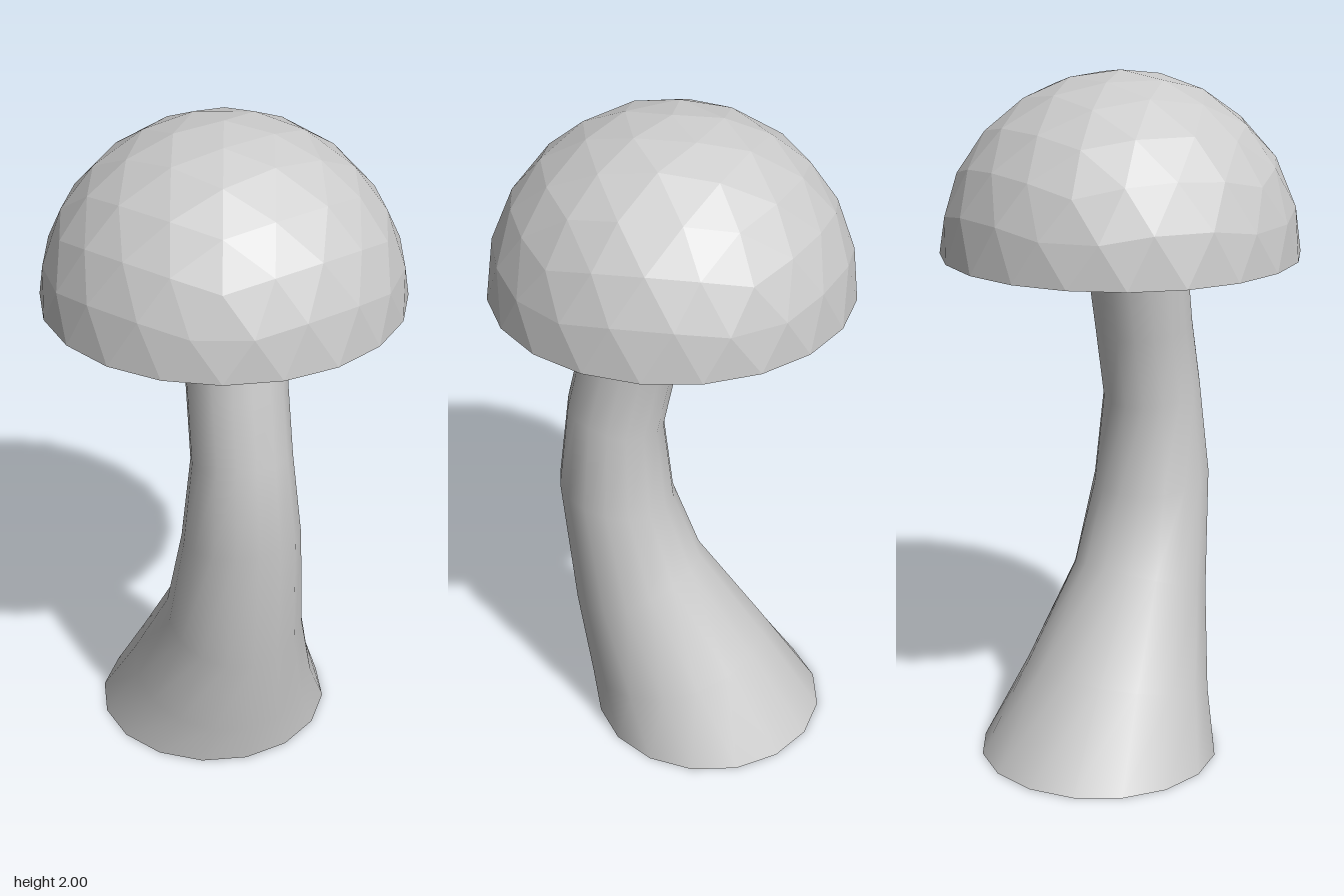
import * as THREE from 'three';

const material = (flatShading) => new THREE.MeshStandardMaterial({ color: 0xcccccc, flatShading });

function addMesh(group, name, positions, index, flat) {
  const geometry = new THREE.BufferGeometry();
  geometry.setAttribute('position', new THREE.Float32BufferAttribute(positions, 3));
  if (index) geometry.setIndex(index);
  geometry.computeVertexNormals();
  const mesh = new THREE.Mesh(geometry, material(flat));
  mesh.name = name;
  group.add(mesh);
  return mesh;
}

// Flat polygon facing down, fanned around its centre
function addDisc(group, name, radius, sides, y, z) {
  const disc = new THREE.Mesh(new THREE.CircleGeometry(radius, sides), material(true));
  disc.rotation.x = Math.PI / 2;
  disc.position.set(0, y, z);
  disc.name = name;
  group.add(disc);
}

// Upper half of a subdivided icosahedron standing on one corner
function buildCap() {
  const cap = new THREE.Group();
  cap.name = 'cap';
  const R = 0.512, baseY = 1.488, positions = [];
  const corner = (step, sign) => { // corners of the upper and lower rings
    const a = Math.PI + step * Math.PI / 5;
    const h = 1 / Math.sqrt(5);
    return new THREE.Vector3(2 * h * Math.cos(a), sign * h, 2 * h * Math.sin(a));
  };
  const mid = (a, b) => a.clone().add(b).normalize();
  const split = (a, b, c, level) => {
    if (level === 0) {
      if (Math.min(a.y, b.y, c.y) < -1e-4) return;
      for (const v of [a, b, c]) positions.push(v.x * R, v.y * R, v.z * R);
      return;
    }
    const ab = mid(a, b), bc = mid(b, c), ca = mid(c, a);
    split(a, ab, ca, level - 1);
    split(ab, b, bc, level - 1);
    split(ca, bc, c, level - 1);
    split(ab, bc, ca, level - 1);
  };
  const top = new THREE.Vector3(0, 1, 0);
  for (let k = 0; k < 10; k += 2) {
    const u0 = corner(k, 1), u1 = corner(k + 2, 1);
    const l0 = corner(k + 1, -1), l1 = corner(k + 3, -1);
    split(top, u1, u0, 2);
    split(u0, u1, l0, 2);
    split(u1, l1, l0, 2);
  }
  addMesh(cap, 'capDome', positions, null, true).position.y = baseY;
  addDisc(cap, 'capUnderside', R, 20, baseY, 0);
  return cap;
}

// Bent stem lofted through tilted rings
function buildStem() {
  const stem = new THREE.Group();
  stem.name = 'stem';
  const sides = 16;
  // front z, front y, back z, back y, half width
  const rings = [
    [0.232, 0, -0.466, 0, 0.353],
    [0.252, 0.13, -0.285, 0.27, 0.277],
    [0.295, 0.4, -0.085, 0.55, 0.204],
    [0.337, 0.82, -0.005, 0.76, 0.174],
    [0.305, 1.09, 0.025, 1.02, 0.146],
    [0.262, 1.28, -0.018, 1.23, 0.144],
    [0.213, 1.56, -0.078, 1.53, 0.149],
  ];
  const positions = [], index = [];
  rings.forEach(([fz, fy, bz, by, r], i) => {
    for (let j = 0; j < sides; j++) {
      const a = j / sides * Math.PI * 2, t = (1 + Math.cos(a)) / 2;
      positions.push(r * Math.sin(a), by + (fy - by) * t, bz + (fz - bz) * t);
      if (i === 0) continue;
      const n = (j + 1) % sides, lo = (i - 1) * sides, hi = i * sides;
      index.push(lo + j, lo + n, hi + n, lo + j, hi + n, hi + j);
    }
  });
  addMesh(stem, 'stemSide', positions, index, false);
  addDisc(stem, 'stemBase', 0.351, sides, 0, -0.117);
  return stem;
}

export function createModel() {
  const model = new THREE.Group();
  model.name = 'mushroom';
  model.add(buildCap(), buildStem());
  return model;
}
